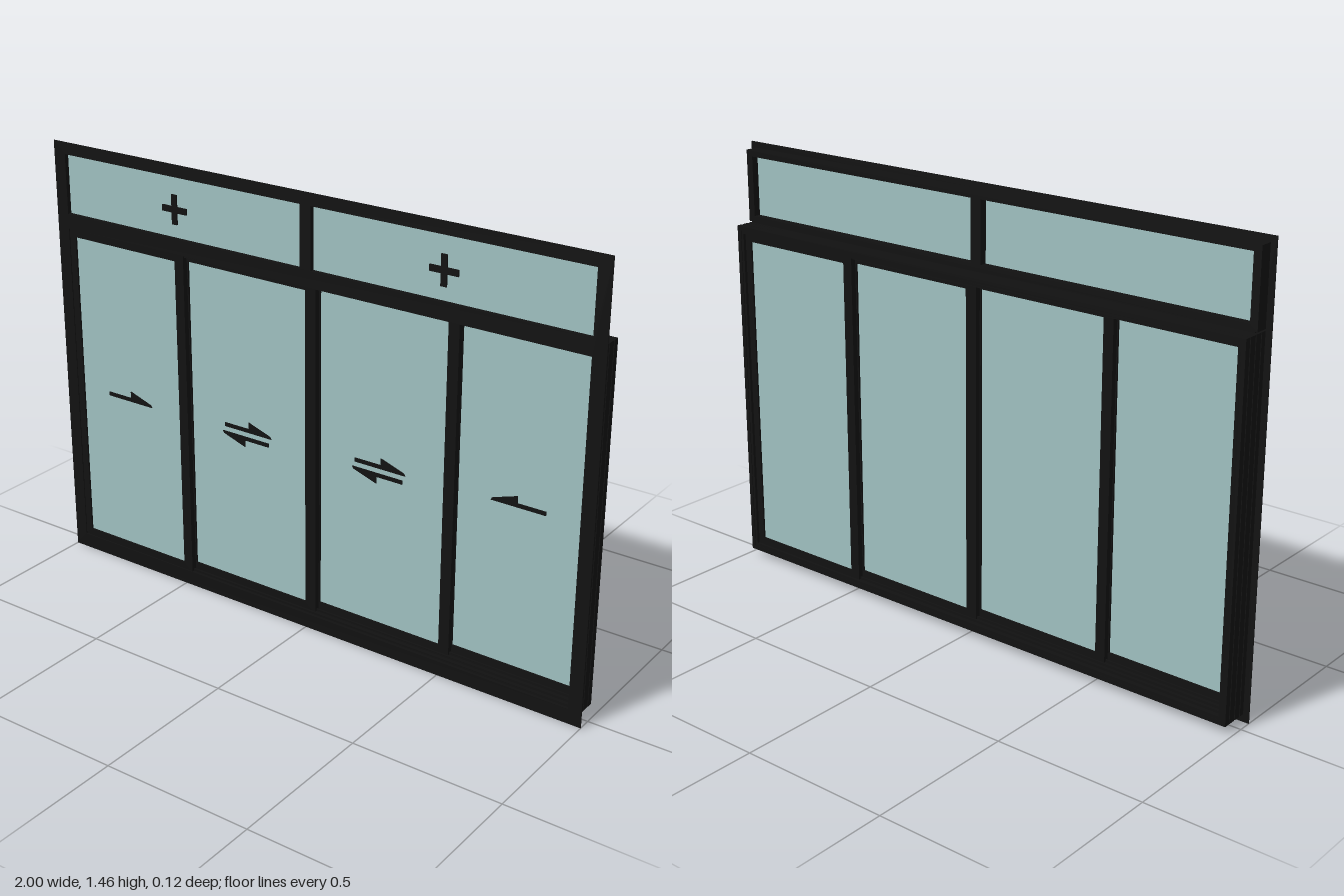
import * as THREE from 'three';

const black = new THREE.MeshStandardMaterial({ color: 0x111111 });
const glassMat = new THREE.MeshStandardMaterial({ color: 0x9fc0c0 });

function add(parent, name, geometry, material = black) {
  const mesh = new THREE.Mesh(geometry, material);
  mesh.name = name;
  parent.add(mesh);
  return mesh;
}

// Box given by its limits on each axis
function block(parent, name, x0, x1, y0, y1, z0, z1, material) {
  const mesh = add(parent, name, new THREE.BoxGeometry(x1 - x0, y1 - y0, z1 - z0), material);
  mesh.position.set((x0 + x1) / 2, (y0 + y1) / 2, (z0 + z1) / 2);
  return mesh;
}

const rect = (x0, x1, y0, y1) => [[x0, y0], [x1, y0], [x1, y1], [x0, y1]].map(p => new THREE.Vector2(...p));

// Flat plate with rectangular openings
function frame(parent, name, outer, holes, z0, z1) {
  const shape = new THREE.Shape(rect(...outer));
  holes.forEach(h => shape.holes.push(new THREE.Path(rect(...h))));
  const geo = new THREE.ExtrudeGeometry(shape, { depth: z1 - z0, bevelEnabled: false });
  geo.translate(0, 0, z0);
  return add(parent, name, geo);
}

// Half-headed arrow; dir is the pointing side, up the side of the barb
function arrow(parent, cx, y, z, dir, up) {
  let pts = [[-0.09, 0], [0.095, 0], [0.09, 0.008], [0.005, 0.036], [0.005, 0.013], [-0.09, 0.013]]
    .map(([x, h]) => new THREE.Vector2(cx + x * dir, y + h * up));
  const geo = new THREE.ExtrudeGeometry(new THREE.Shape(pts), { depth: 0.003, bevelEnabled: false });
  geo.translate(0, 0, z);
  add(parent, 'slideArrow', geo);
}

export function createModel() {
  const model = new THREE.Group();
  model.name = 'slidingWindow';
  const tracks = [0.033, 0.01, -0.013, -0.036];

  // Thin front flange around both openings
  const upperHoles = [[-0.955, -0.02, 1.22, 1.42], [0.02, 0.955, 1.22, 1.42]];
  frame(model, 'frontFlange', [-1, 1, 0, 1.46],
    [...upperHoles, [-0.955, 0.955, 0.05, 1.17]], 0.042, 0.045);

  // Main frame with grooved outer faces
  const lower = new THREE.Group();
  lower.name = 'mainFrame';
  model.add(lower);
  const opening = [-0.955, 0.955, 0.05, 1.17];
  frame(lower, 'frameCore', [-0.972, 0.972, 0.033, 1.187], [opening], -0.054, 0.042);
  [[-0.056, -0.036], [-0.032, -0.008], [-0.004, 0.02], [0.024, 0.042]].forEach(([z0, z1]) =>
    frame(lower, 'frameRib', [-0.98, 0.98, 0.025, 1.195], [[-0.965, 0.965, 0.04, 1.18]], z0, z1));

  // Fixed upper light
  const upper = new THREE.Group();
  upper.name = 'upperLight';
  model.add(upper);
  frame(upper, 'upperFrame', [-0.98, 0.98, 1.2, 1.44], upperHoles, 0, 0.042);
  block(upper, 'transomJoint', -0.97, 0.97, 1.185, 1.205, 0.004, 0.042);
  for (const s of [-1, 1]) {
    const [a, b] = s < 0 ? [-0.957, -0.018] : [0.018, 0.957];
    block(upper, 'upperGlass', a, b, 1.218, 1.422, 0.024, 0.03, glassMat);
    // Plus-shaped fixed-pane mark
    block(upper, 'fixedMarkBar', s * 0.49 - 0.048, s * 0.49 + 0.048, 1.311, 1.331, 0.055, 0.06);
    block(upper, 'fixedMarkPost', s * 0.49 - 0.01, s * 0.49 + 0.01, 1.273, 1.369, 0.055, 0.06);
  }

  // Four sashes, each on its own track
  const sashes = [
    [-0.962, -0.475, -0.93, -0.51],
    [-0.51, 0.02, -0.475, -0.02],
    [-0.02, 0.51, 0.02, 0.473],
    [0.473, 0.962, 0.508, 0.93],
  ];
  sashes.forEach(([x0, x1, g0, g1], i) => {
    const z = tracks[i];
    const sash = new THREE.Group();
    sash.name = 'sash' + (i + 1);
    model.add(sash);
    frame(sash, 'sashFrame', [x0, x1, 0.045, 1.175], [[g0, g1, 0.075, 1.145]], z - 0.009, z + 0.009);
    block(sash, 'sashGlass', g0 - 0.003, g1 + 0.003, 0.073, 1.147, z - 0.003, z + 0.003, glassMat);

    const az = z + 0.011;
    if (i === 0) arrow(sash, -0.72, 0.615, az, 1, 1);
    else if (i === 3) arrow(sash, 0.72, 0.615, az, -1, 1);
    else {
      const cx = i === 1 ? -0.245 : 0.245;
      arrow(sash, cx, 0.618, az, 1, 1);
      arrow(sash, cx - 0.005, 0.601, az, -1, -1);
    }

    // Guide rails of this track, top and bottom
    block(lower, 'bottomRail', -0.96, 0.96, 0.045, 0.058, z - 0.003, z + 0.003);
    block(lower, 'topRail', -0.96, 0.96, 1.162, 1.175, z - 0.003, z + 0.003);
  });

  return model;
}
